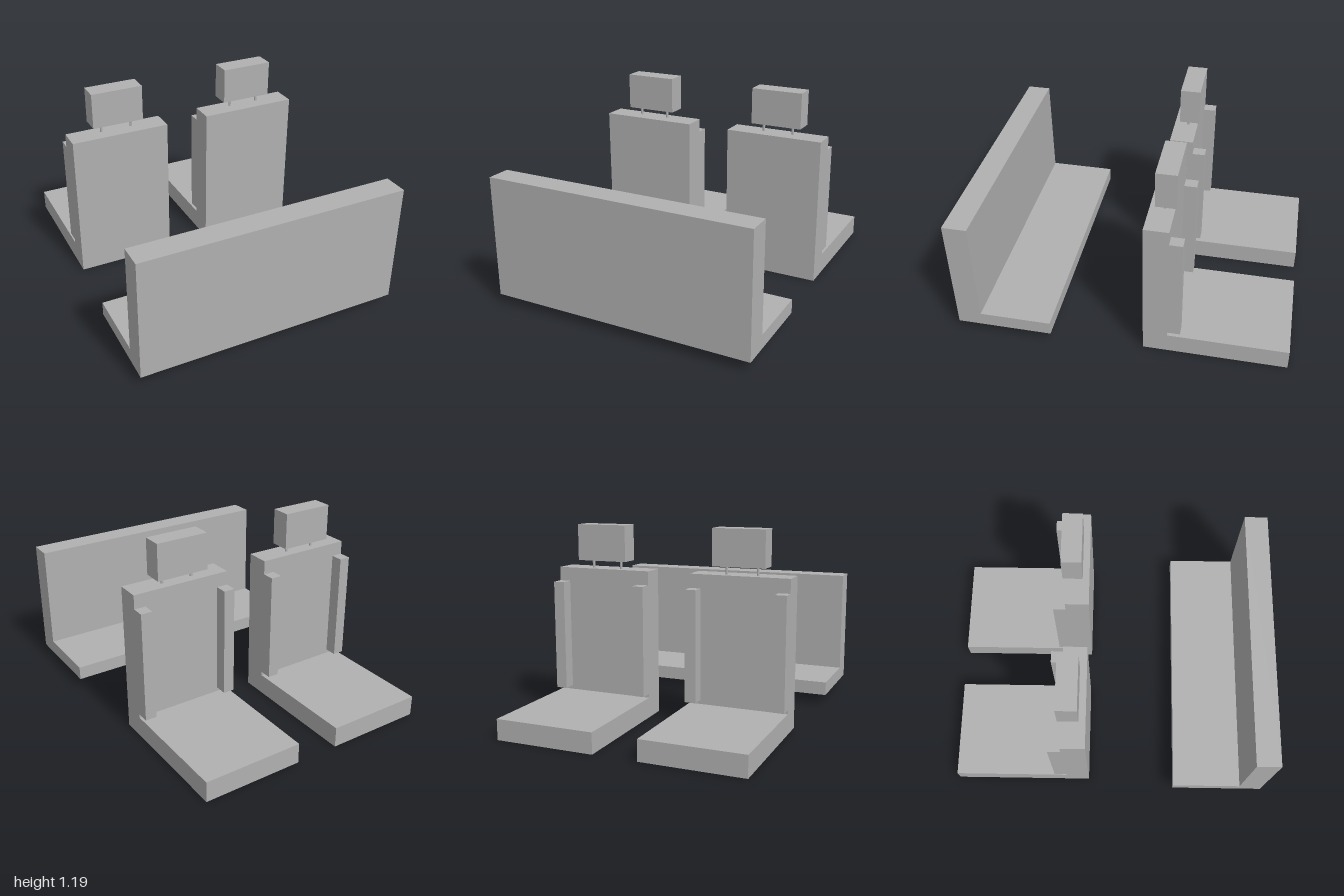
import * as THREE from 'three';

export function createModel() {
  const model = new THREE.Group();
  model.name = 'carSeats';
  const grey = new THREE.MeshStandardMaterial({ color: 0xb0b0b0 });
  grey.name = 'seat grey';

  // Box given by its lower and upper corner
  function block(parent, name, [x0, y0, z0], [x1, y1, z1]) {
    const mesh = new THREE.Mesh(new THREE.BoxGeometry(x1 - x0, y1 - y0, z1 - z0), grey);
    mesh.position.set((x0 + x1) / 2, (y0 + y1) / 2, (z0 + z1) / 2);
    mesh.name = name;
    parent.add(mesh);
  }

  // L-shaped side profile of [z, y] points, extruded across x
  function sideExtrusion(parent, name, points, x0, x1) {
    const shape = new THREE.Shape(points.map(([z, y]) => new THREE.Vector2(-z, y)));
    const geometry = new THREE.ExtrudeGeometry(shape, { depth: x1 - x0, bevelEnabled: false });
    geometry.rotateY(Math.PI / 2);
    geometry.translate(x0, 0, 0);
    const mesh = new THREE.Mesh(geometry, grey);
    mesh.name = name;
    parent.add(mesh);
  }

  // Single seat: cushion and backrest, side bolsters, headrest on two posts
  function singleSeat(name, centreX) {
    const seat = new THREE.Group();
    seat.name = name;
    seat.position.x = centreX;
    const half = 0.307;
    sideExtrusion(seat, 'seatFrame', [
      [-0.135, 0], [-1, 0], [-1, 0.126], [-0.28, 0.126], [-0.28, 0.915], [-0.135, 0.915],
    ], -half, half);
    block(seat, 'rightBolster', [-half, 0.15, -0.357], [-half + 0.07, 0.83, -0.28]);
    block(seat, 'leftBolster', [half - 0.07, 0.15, -0.357], [half, 0.83, -0.28]);
    block(seat, 'headrest', [-0.161, 0.966, -0.296], [0.161, 1.188, -0.174]);
    for (const side of [-1, 1]) {
      const post = new THREE.Mesh(new THREE.CylinderGeometry(0.008, 0.008, 0.07, 12), grey);
      post.position.set(side * 0.096, 0.94, -0.221);
      post.name = 'headrestPost';
      seat.add(post);
    }
    model.add(seat);
  }
  singleSeat('rightSeat', -0.443);
  singleSeat('leftSeat', 0.443);

  // Wide bench facing the single seats' backs
  sideExtrusion(model, 'bench', [
    [1, 0.063], [0.42, 0.063], [0.42, 0.148], [0.853, 0.148], [0.853, 0.8], [1, 0.8],
  ], -0.812, 0.812);

  return model;
}
